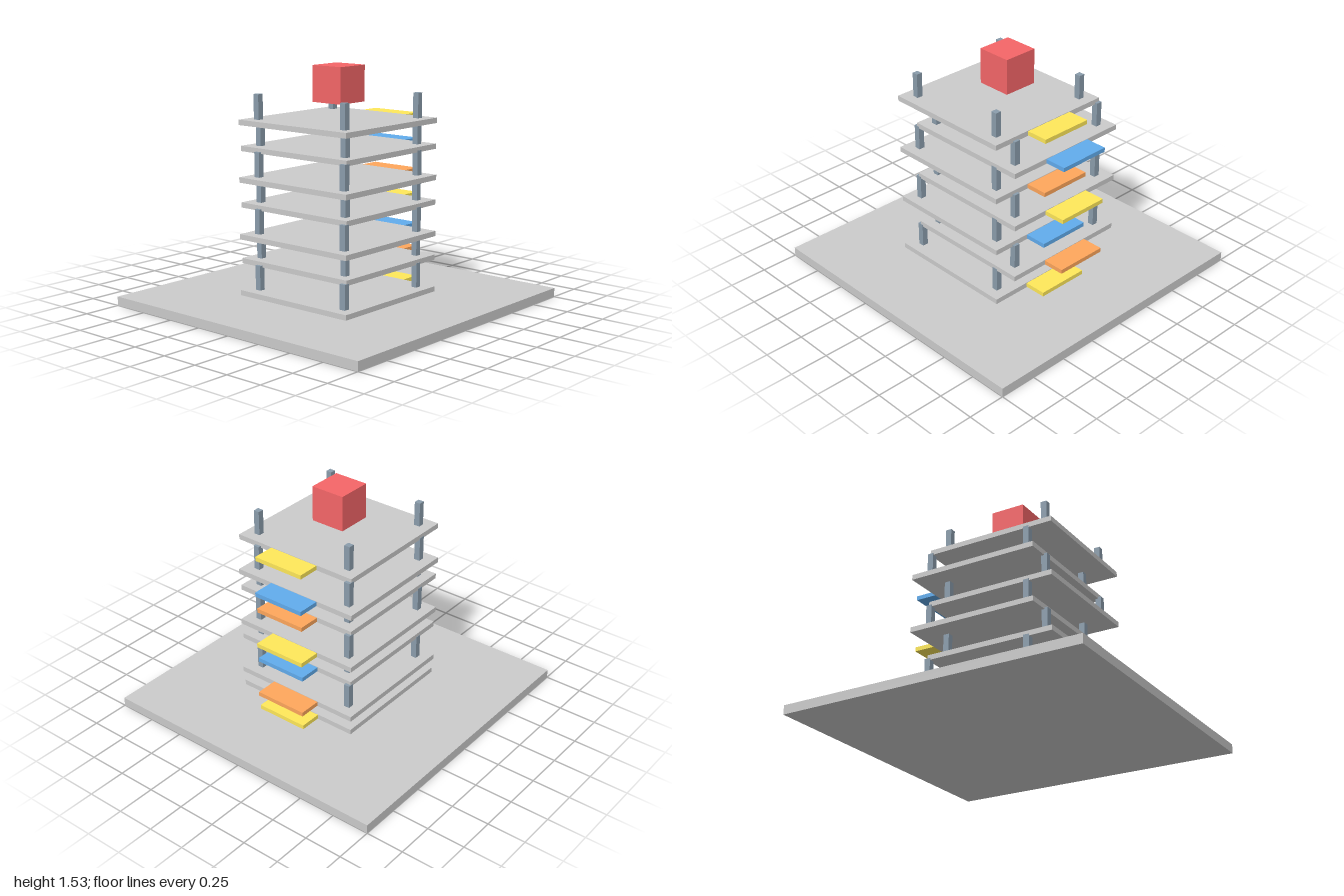
import * as THREE from 'three';

const material = (color) => new THREE.MeshStandardMaterial({ color });
const grey = material(0xcccccc);
const slate = material(0x8b9dac);
const red = material(0xf56668);
const balconyColours = [0xffe95a, 0xffa75c, 0x61aced].map(material);

// Box given by its size and centre
function box(name, mat, [w, h, d], [x, y, z]) {
  const mesh = new THREE.Mesh(new THREE.BoxGeometry(w, h, d), mat);
  mesh.name = name;
  mesh.position.set(x, y, z);
  return mesh;
}

// One storey: slab, four columns standing on it and a balcony on the +x side
function createFloor(index) {
  const floor = new THREE.Group();
  floor.name = `floor${index + 1}`;
  const width = 0.883, thickness = 0.034, columnHeight = 0.16, inset = 0.353;

  floor.add(box('slab', grey, [width, thickness, width * 0.997], [0, 0, 0]));
  for (const sx of [-1, 1]) {
    for (const sz of [-1, 1]) {
      floor.add(box('column', slate, [0.04, columnHeight, 0.04],
        [sx * inset, (thickness + columnHeight) / 2, sz * inset]));
    }
  }
  const reach = 0.146;
  floor.add(box('balcony', balconyColours[index % 3], [reach, 0.028, 0.355],
    [(width + reach) / 2, 0, 0]));
  return floor;
}

export function createModel() {
  const model = new THREE.Group();
  model.name = 'tower';

  model.add(box('groundPlate', grey, [2, 0.059, 2], [0, 0.0295, 0]));

  // Storeys shift diagonally back and forth
  for (let i = 0; i < 7; i++) {
    const side = i % 2 === 0 ? -1 : 1;
    const floor = createFloor(i);
    floor.position.set(side * 0.044, 0.085 + i * 0.1825, side * -0.035);
    model.add(floor);
  }

  // Cube floating above the roof
  model.add(box('roofCube', red, [0.232, 0.232, 0.232], [0, 1.413, 0]));
  return model;
}
